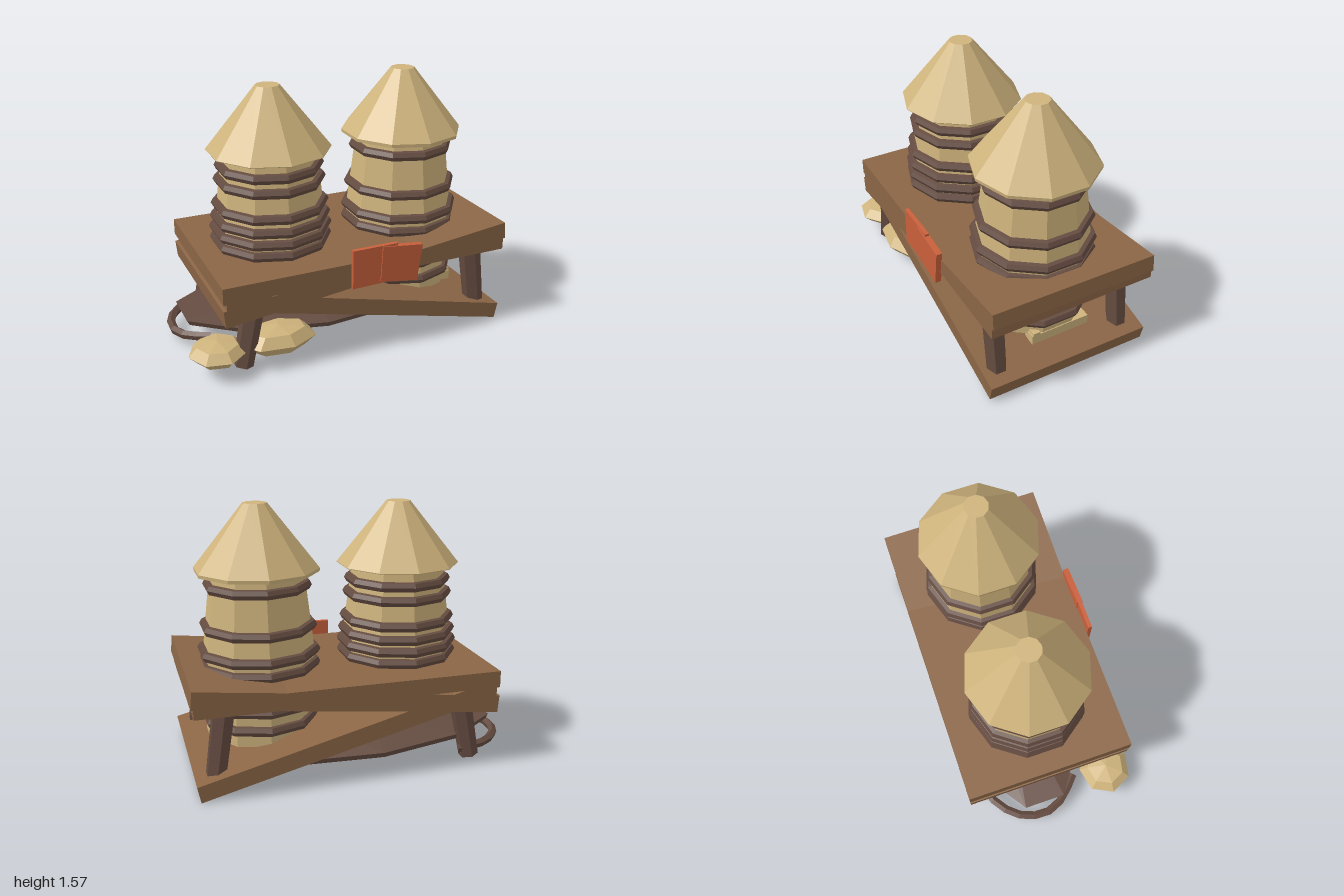
import * as THREE from 'three';

const mat = (name, color) => {
  const m = new THREE.MeshStandardMaterial({ color });
  m.name = name;
  return m;
};

// Faceted normals for a low-poly look
const flat = (g) => {
  const f = g.index ? g.toNonIndexed() : g;
  f.computeVertexNormals();
  return f;
};

export function createModel() {
  const model = new THREE.Group();
  const wood = mat('plank wood', 0x8b6646);
  const dark = mat('dark wood', 0x654c41);
  const straw = mat('straw', 0xceb37c);
  const red = mat('sign red', 0xc9603c);

  const add = (name, geo, material, parent = model) => {
    const m = new THREE.Mesh(flat(geo), material);
    m.name = name;
    parent.add(m);
    return m;
  };
  const V = (x, y, z) => new THREE.Vector3(x, y, z);
  const lathe = (pts) => new THREE.LatheGeometry(pts.map((p) => new THREE.Vector2(...p)), 10);
  const plate = (pts, z, depth) =>
    new THREE.ExtrudeGeometry(new THREE.Shape(pts.map((p) => new THREE.Vector2(...p))),
      { depth, bevelEnabled: false }).translate(0, 0, z);

  // Level, rising and falling decks that cross on the left
  const decks = [
    ['levelDeck', [[-0.82, 0.5], [0.98, 0.5], [0.98, 0.6], [-0.82, 0.6]], 0],
    ['risingDeck', [[-0.81, 0.35], [0.995, 0.565], [0.985, 0.668], [-0.82, 0.455]], 0.012],
    ['fallingDeck', [[-0.8, 0.452], [0.96, 0.014], [0.98, 0.11], [-0.8, 0.558]], 0.012],
  ];
  for (const [name, pts, shear] of decks) {
    const g = plate(pts, -0.54, 1.04);
    const p = g.attributes.position;
    for (let i = 0; i < p.count; i++) p.setY(i, p.getY(i) + shear * p.getZ(i));
    add(name, g, wood);
  }

  // Ten-sided straw towers with dark hoops and cone roofs
  const radiusAt = (y) => (y > 0.7 ? 0.335 - (y - 0.7) * 0.12 : 0.335 - (0.7 - y) * 0.03);
  const tower = (name, x, base, top, rim, hoops) => {
    const t = new THREE.Group();
    t.name = name;
    t.position.set(x, 0, -0.02);
    model.add(t);
    add('towerBody', lathe([[0, base], [radiusAt(base), base], [radiusAt(0.7), 0.7], [radiusAt(1.2), 1.2]]), straw, t);
    for (const y of hoops) {
      const r = radiusAt(y);
      add('hoop', lathe([[r - 0.02, y - 0.032], [r + 0.022, y - 0.025], [r + 0.035, y],
        [r + 0.022, y + 0.025], [r - 0.02, y + 0.032]]), dark, t);
    }
    add('roof', lathe([[0, 1.178], [0.368, 1.178], [0.37, 1.178 + rim], [0.072, top], [0, top]]), straw, t);
  };
  tower('leftTower', -0.35, 0.5, 1.555, 0.004, [0.63, 0.7, 0.77, 0.85, 1.0, 1.085]);
  tower('rightTower', 0.52, 0.2, 1.575, 0.02, [0.3, 0.41, 0.63, 0.71, 0.86, 1.1]);

  // Splayed legs
  const leg = (name, a, b) => {
    const d = b.clone().sub(a);
    const m = add(name, new THREE.CylinderGeometry(0.068, 0.06, d.length(), 6), dark);
    m.position.copy(a).add(b).multiplyScalar(0.5);
    m.quaternion.setFromUnitVectors(V(0, 1, 0), d.normalize());
  };
  for (const z of [0.4, -0.42]) {
    const side = z > 0 ? 'front' : 'back';
    leg(side + 'LeftLeg', V(0.87, 0.03, z), V(0.8, 0.52, z));
    leg(side + 'RightLeg', V(-0.69, 0.04, z), V(-0.61, 0.45, z));
  }

  // Wide faceted dish lying under the decks
  const dish = lathe([[0, 0.02], [0.55, 0.06], [0.98, 0.12], [1, 0.15], [0.5, 0.22], [0, 0.24]]);
  const dp = dish.attributes.position;
  for (let i = 0; i < dp.count; i++) {
    const x = dp.getX(i) * 0.84 - 0.12;
    const r = Math.hypot(dp.getX(i), dp.getZ(i));
    dp.setXYZ(i, x, dp.getY(i) - 0.05 * r * (x + 0.1), dp.getZ(i) * 0.42 - 0.08);
  }
  add('dish', dish, dark);

  // Bent carrying loop on one end of the dish
  const loop = new THREE.CatmullRomCurve3([V(-0.6, 0.09, -0.44), V(-0.8, 0.085, -0.38), V(-0.93, 0.08, -0.26),
    V(-0.975, 0.08, -0.1), V(-0.93, 0.09, 0.03), V(-0.8, 0.12, 0.16)]);
  add('carryLoop', new THREE.TubeGeometry(loop, 9, 0.027, 5, false), dark);

  // Flattened straw heaps
  const heap = (name, pos, size) =>
    add(name, new THREE.SphereGeometry(1, 7, 4).scale(...size).translate(...pos), straw);
  heap('cornerHeap', [-0.83, 0.145, 0.37], [0.17, 0.07, 0.165]);
  heap('frontHeap', [-0.46, 0.145, 0.36], [0.24, 0.085, 0.15]);
  heap('middleHeap', [-0.14, 0.245, 0.1], [0.29, 0.04, 0.16]);

  // Small straw beam at the foot of the right tower
  add('footBeam', new THREE.BoxGeometry(0.08, 0.06, 0.38).translate(0.79, 0.19, -0.04), straw);
  add('footBeamEnd', new THREE.BoxGeometry(0.08, 0.075, 0.045).translate(0.79, 0.198, 0.12), straw);

  // Two overlapping sign boards
  add('signBoard', plate([[-0.055, 0.45], [0.2, 0.455], [0.23, 0.69], [-0.055, 0.69]], 0.5, 0.025), red);
  add('signBoardEnd', plate([[0.12, 0.465], [0.36, 0.428], [0.39, 0.655], [0.13, 0.685]], 0.495, 0.037), red);

  return model;
}
